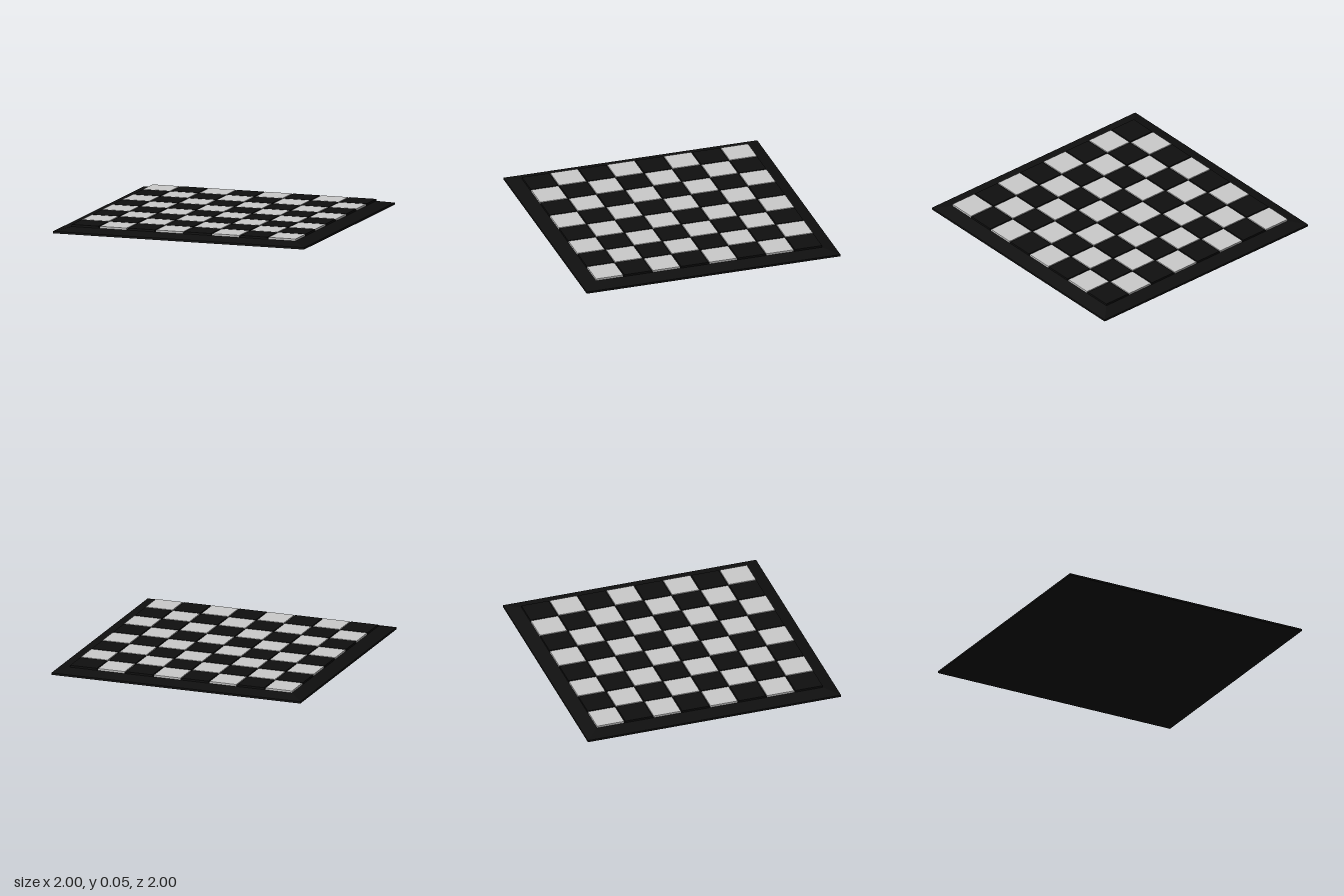
import * as THREE from 'three';

export function createModel() {
  const board = new THREE.Group();
  board.name = 'checkerboard';
  const dark = new THREE.MeshStandardMaterial({ color: 0x0f0f0f, flatShading: true });
  const light = new THREE.MeshStandardMaterial({ color: 0xcccccc, flatShading: true });

  // Square base with a sloping rim: a four-sided lathe, half-widths scaled to corner radii
  const profile = [[0, 0], [1, 0], [1, 0.015], [0.89, 0.04], [0.89, 0.047], [0, 0.047]]
    .map(([half, y]) => new THREE.Vector2(half * Math.SQRT2, y));
  const base = new THREE.Mesh(new THREE.LatheGeometry(profile, 4, Math.PI / 4), dark);
  base.name = 'base';
  board.add(base);

  // Raised squares separated by narrow grooves
  const pitch = 0.224, size = 0.214, bottom = 0.04, top = 0.055;
  const squareGeometry = new THREE.BoxGeometry(size, top - bottom, size);
  const squares = new THREE.Group();
  squares.name = 'squares';
  for (let row = 0; row < 8; row++) {
    for (let col = 0; col < 8; col++) {
      const isLight = (row + col) % 2 === 0;
      const square = new THREE.Mesh(squareGeometry, isLight ? light : dark);
      square.name = isLight ? 'lightSquare' : 'darkSquare';
      square.position.set((col - 3.5) * pitch, (bottom + top) / 2, (row - 3.5) * pitch);
      squares.add(square);
    }
  }
  board.add(squares);
  return board;
}
